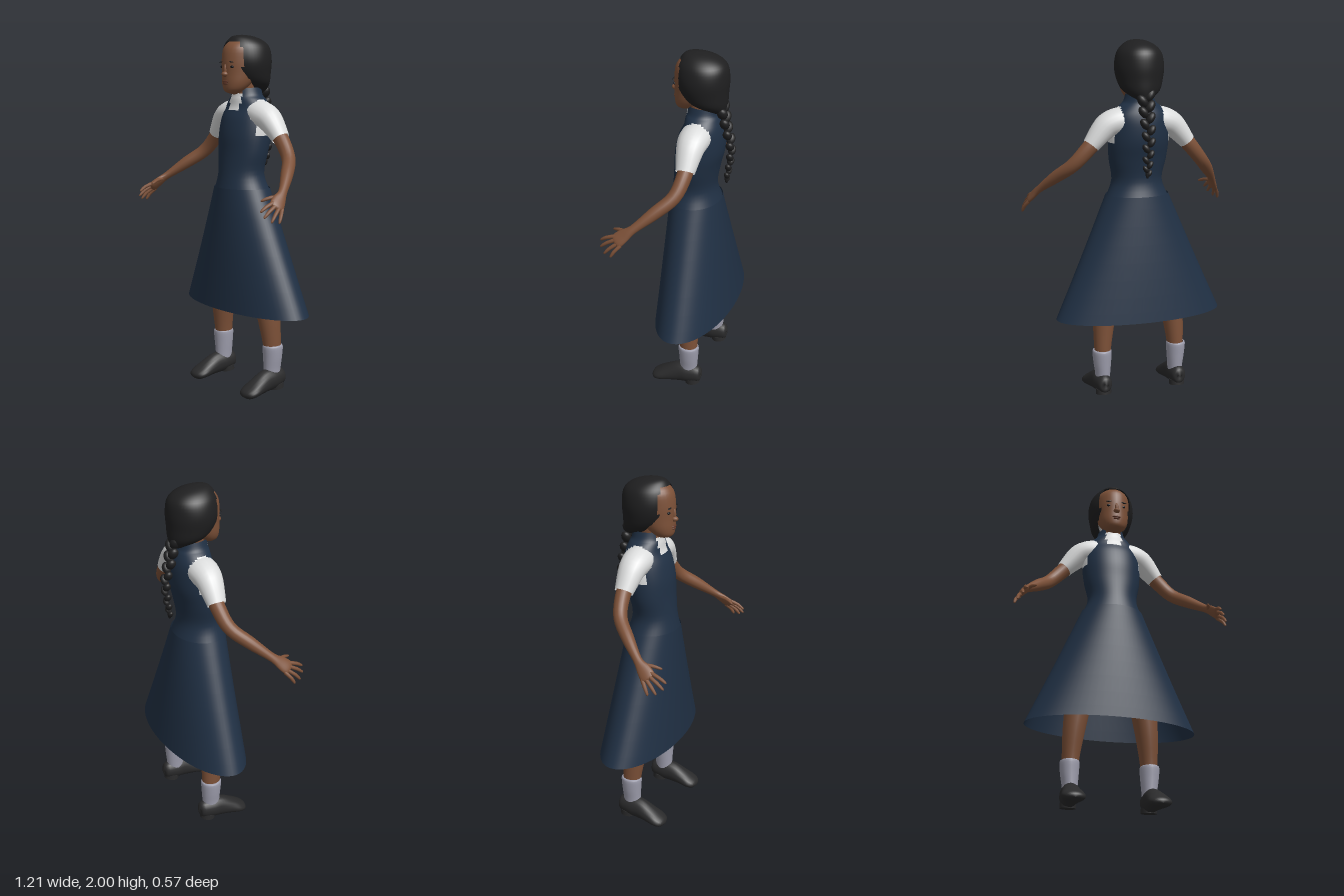
import * as THREE from 'three';

const mat = (name, color, side = THREE.FrontSide) => {
  const m = new THREE.MeshStandardMaterial({ color, side });
  m.name = name;
  return m;
};

// Smooth in-between rings; each ring is [x, y, z, radiusU, radiusV]
function resample(rings, steps) {
  const out = [];
  const at = (i) => rings[Math.min(Math.max(i, 0), rings.length - 1)];
  for (let i = 0; i < rings.length - 1; i++) {
    for (let s = 0; s < steps; s++) {
      const t = s / steps;
      out.push(at(i).map((p1, k) => {
        const p0 = at(i - 1)[k], p2 = at(i + 1)[k], p3 = at(i + 2)[k];
        return p1 + 0.5 * t * (p2 - p0 + t * (2 * p0 - 5 * p1 + 4 * p2 - p3 + t * (3 * (p1 - p2) + p3 - p0)));
      }));
    }
  }
  out.push(rings[rings.length - 1]);
  return out;
}

// Skin over elliptical rings. Without ref the rings lie flat (listed upward),
// with ref they stand across the path. rule(x, y, z) picks a material, -1 leaves a gap.
function loft(rings, { steps = 4, segs = 20, ref = null, rule = () => 0 } = {}) {
  const rs = resample(rings, steps), pos = [], faces = [];
  const centre = (i) => new THREE.Vector3(...rs[Math.min(Math.max(i, 0), rs.length - 1)].slice(0, 3));
  rs.forEach((r, i) => {
    const t = ref ? centre(i + 1).sub(centre(i - 1)).normalize() : new THREE.Vector3(0, 1, 0);
    const u = ref ? ref.clone().addScaledVector(t, -ref.dot(t)).normalize() : new THREE.Vector3(1, 0, 0);
    const v = u.clone().cross(t);
    for (let j = 0; j < segs; j++) {
      const a = (j / segs) * Math.PI * 2;
      const p = centre(i).addScaledVector(u, Math.max(r[3], 0.001) * Math.cos(a)).addScaledVector(v, Math.max(r[4], 0.001) * Math.sin(a));
      pos.push(p.x, p.y, p.z);
    }
  });
  for (let i = 0; i < rs.length - 1; i++) {
    for (let j = 0; j < segs; j++) {
      const k = (j + 1) % segs;
      const a = i * segs + j, b = i * segs + k, c = a + segs, d = b + segs;
      const mid = [0, 1, 2].map((n) => (pos[a * 3 + n] + pos[b * 3 + n] + pos[c * 3 + n] + pos[d * 3 + n]) / 4);
      const m = rule(...mid);
      if (m >= 0) (faces[m] ??= []).push(a, c, b, b, c, d);
    }
  }
  const g = new THREE.BufferGeometry();
  g.setAttribute('position', new THREE.Float32BufferAttribute(pos, 3));
  g.setIndex(faces.flat());
  let start = 0;
  faces.forEach((f, m) => { g.addGroup(start, f.length, m); start += f.length; });
  g.computeVertexNormals();
  return g;
}

export function createModel() {
  const model = new THREE.Group();
  model.name = 'girlInPinafore';
  const skin = mat('skin', 0x7d5138);
  const lip = mat('lips', 0x63392a);
  const navy = mat('navyCloth', 0x203044, THREE.DoubleSide);
  const white = mat('whiteCloth', 0xdcdddd, THREE.DoubleSide);
  const sockGrey = mat('sockGrey', 0x9d9dac);
  const black = mat('shoeBlack', 0x2a2a2b);
  const hairMat = mat('hair', 0x1f1f20, THREE.DoubleSide);
  const eyeMat = mat('eyes', 0x17181c);

  const add = (name, geo, material, parent = model) => {
    const m = new THREE.Mesh(geo, material);
    m.name = name;
    parent.add(m);
    return m;
  };
  const blob = (name, material, p, s, rz = 0, parent = model) => {
    const m = add(name, new THREE.SphereGeometry(1, 14, 10), material, parent);
    m.position.set(...p);
    m.scale.set(...s);
    m.rotation.z = rz;
    return m;
  };

  // Skirt: an open cone with an oval hem
  add('skirt', loft([[0, 0.47, -0.078, 0.48, 0.208], [0, 0.8, -0.063, 0.332, 0.178],
    [0, 1.155, -0.046, 0.178, 0.142]], { segs: 64 }), navy);

  // Bodice over blouse, with stepped armholes and an open collar
  const bodiceRule = (x, y, z) => {
    const ax = Math.abs(x);
    if (z > -0.06 && ax < 0.046 && y > 1.59) return y > 1.675 ? -1 : 1;
    if (y > 1.655) return 0;
    if (y > 1.6) return ax > 0.115 ? 1 : 0;
    if (y > 1.53) return ax > 0.125 ? 1 : 0;
    return y > 1.44 && ax > 0.155 ? 1 : 0;
  };
  add('bodice', loft([[0, 1.14, -0.046, 0.177, 0.14], [0, 1.235, -0.04, 0.142, 0.12], [0, 1.35, -0.053, 0.162, 0.122],
    [0, 1.45, -0.068, 0.17, 0.131], [0, 1.54, -0.08, 0.165, 0.123], [0, 1.6, -0.09, 0.152, 0.105],
    [0, 1.645, -0.086, 0.115, 0.094], [0, 1.67, -0.083, 0.088, 0.086], [0, 1.71, -0.083, 0.074, 0.082]],
  { segs: 44, rule: bodiceRule }), [navy, white]);

  // Neck and head
  add('neck', loft([[0, 1.56, -0.08, 0.065, 0.06], [0, 1.65, -0.07, 0.056, 0.058], [0, 1.76, -0.055, 0.058, 0.06]]), skin);
  add('head', loft([[0, 1.672, 0.01, 0.001, 0.001], [0, 1.69, 0.015, 0.048, 0.047], [0, 1.73, -0.006, 0.078, 0.08],
    [0, 1.79, -0.035, 0.093, 0.11], [0, 1.86, -0.05, 0.1, 0.126], [0, 1.93, -0.05, 0.094, 0.112],
    [0, 1.972, -0.06, 0.055, 0.075], [0, 1.985, -0.06, 0.001, 0.001]], { segs: 32 }), skin);
  blob('nose', skin, [0, 1.785, 0.074], [0.019, 0.015, 0.022]);
  blob('noseBridge', skin, [0, 1.81, 0.07], [0.011, 0.035, 0.014]);
  blob('upperLip', lip, [0, 1.745, 0.071], [0.025, 0.007, 0.011]);
  blob('lowerLip', lip, [0, 1.734, 0.069], [0.021, 0.007, 0.012]);

  // Hair cap with a face opening
  const hairRule = (x, y, z) => (y < 1.962 && z > (y > 1.79 ? 0.022 : 0.022 - (1.79 - y) * 1.35) ? -1 : 0);
  add('hairCap', loft([[0, 1.68, -0.165, 0.03, 0.04], [0, 1.73, -0.115, 0.1, 0.1], [0, 1.79, -0.088, 0.125, 0.13],
    [0, 1.86, -0.08, 0.135, 0.142], [0, 1.93, -0.078, 0.121, 0.134], [0, 1.97, -0.068, 0.088, 0.104],
    [0, 1.993, -0.05, 0.045, 0.06], [0, 2, -0.045, 0.001, 0.001]], { segs: 48, rule: hairRule }), hairMat);

  // Plaited braid of alternating lobes, ending in a thin tuft
  const braid = new THREE.Group();
  braid.name = 'braid';
  model.add(braid);
  const spine = new THREE.CatmullRomCurve3([[1.71, -0.19], [1.6, -0.215], [1.48, -0.242], [1.36, -0.232], [1.27, -0.217]]
    .map(([y, z]) => new THREE.Vector3(0, y, z)));
  for (let i = 0; i < 15; i++) {
    const f = i / 15, p = spine.getPoint(f), s = i % 2 ? 1 : -1, w = 1 - 0.55 * f;
    blob('braidLobe', hairMat, [s * 0.021 * w, p.y, p.z], [0.026 * w, 0.036 * w + 0.004, 0.031 * w], -s * 0.6, braid);
  }
  blob('braidTip', hairMat, [0, 1.3, -0.221], [0.012, 0.035, 0.012], 0, braid);

  for (const s of [1, -1]) {
    const side = new THREE.Group();
    side.name = s > 0 ? 'leftSide' : 'rightSide';
    model.add(side);
    const flip = (rings) => rings.map(([x, ...r]) => [s * x, ...r]);

    // Eye and brow
    blob('eye', eyeMat, [s * 0.042, 1.825, 0.061], [0.014, 0.008, 0.008], 0, side);
    blob('brow', hairMat, [s * 0.043, 1.851, 0.066], [0.02, 0.0035, 0.006], -s * 0.1, side);

    // Short sleeve
    add('sleeve', loft(flip([[0.08, 1.57, -0.085, 0.085, 0.075], [0.14, 1.56, -0.083, 0.084, 0.074],
      [0.2, 1.53, -0.085, 0.073, 0.066], [0.278, 1.44, -0.09, 0.052, 0.046]]),
    { ref: new THREE.Vector3(0, 0, 1) }), white, side);

    // Arm running into a flat palm
    const ref = new THREE.Vector3(s * 0.45, -0.54, -0.72);
    add('arm', loft(flip([[0.21, 1.51, -0.087, 0.045, 0.045], [0.29, 1.425, -0.09, 0.041, 0.043],
      [0.37, 1.335, -0.065, 0.037, 0.038], [0.445, 1.262, 0.015, 0.034, 0.034], [0.515, 1.186, 0.105, 0.024, 0.02],
      [0.538, 1.15, 0.15, 0.037, 0.017], [0.557, 1.118, 0.186, 0.038, 0.014], [0.562, 1.11, 0.196, 0.001, 0.001]]),
    { ref }), skin, side);

    // Fingers and thumb: knuckle to tip
    const fingers = [[0.543, 1.135, 0.205, 0.545, 1.1, 0.283], [0.555, 1.12, 0.196, 0.564, 1.07, 0.276],
      [0.565, 1.105, 0.18, 0.588, 1.047, 0.245], [0.572, 1.095, 0.163, 0.6, 1.04, 0.203],
      [0.52, 1.165, 0.135, 0.487, 1.147, 0.233]];
    for (const [x, y, z, tx, ty, tz] of fingers) {
      const mid = [(x + tx) / 2 + 0.003, (y + ty) / 2 + 0.006, (z + tz) / 2];
      add('finger', loft(flip([[x - (tx - x) * 0.2, y - (ty - y) * 0.2, z - (tz - z) * 0.2, 0.011, 0.011], [...mid, 0.01, 0.01],
        [x + (tx - x) * 0.9, y + (ty - y) * 0.9, z + (tz - z) * 0.9, 0.007, 0.007], [tx, ty, tz, 0.001, 0.001]]),
      { ref, segs: 8, steps: 2 }), skin, side);
    }

    // Leg and sock
    add('leg', loft(flip([[0.22, 0.12, -0.09, 0.038, 0.045], [0.219, 0.27, -0.086, 0.046, 0.053],
      [0.202, 0.47, -0.07, 0.064, 0.071], [0.165, 0.72, -0.06, 0.08, 0.085], [0.1, 1.05, -0.05, 0.085, 0.09]])), skin, side);
    add('sock', loft(flip([[0.22, 0.09, -0.085, 0.04, 0.05], [0.22, 0.14, -0.087, 0.043, 0.052],
      [0.222, 0.2, -0.088, 0.05, 0.056], [0.223, 0.265, -0.088, 0.054, 0.06], [0.222, 0.275, -0.088, 0.044, 0.05]])), sockGrey, side);

    // Shoe, flattened onto a sole that rises to the heel
    const shoe = loft(flip([[0.222, 0.085, -0.163, 0.001, 0.001], [0.222, 0.085, -0.155, 0.036, 0.045],
      [0.224, 0.08, -0.09, 0.05, 0.06], [0.226, 0.075, -0.035, 0.051, 0.062], [0.229, 0.055, 0.03, 0.058, 0.048],
      [0.231, 0.035, 0.085, 0.063, 0.034], [0.231, 0.022, 0.12, 0.045, 0.022], [0.231, 0.015, 0.132, 0.001, 0.001]]),
    { ref: new THREE.Vector3(1, 0, 0) });
    const p = shoe.attributes.position;
    for (let i = 0; i < p.count; i++) p.setY(i, Math.max(p.getY(i), 0.12 * Math.max(0.08 - p.getZ(i), 0)));
    shoe.computeVertexNormals();
    add('shoe', shoe, black, side);
    const heel = add('heel', new THREE.CylinderGeometry(0.044, 0.044, 0.03, 20), black, side);
    heel.position.set(s * 0.223, 0.035, -0.112);
    heel.rotation.x = 0.12;
  }
  return model;
}
